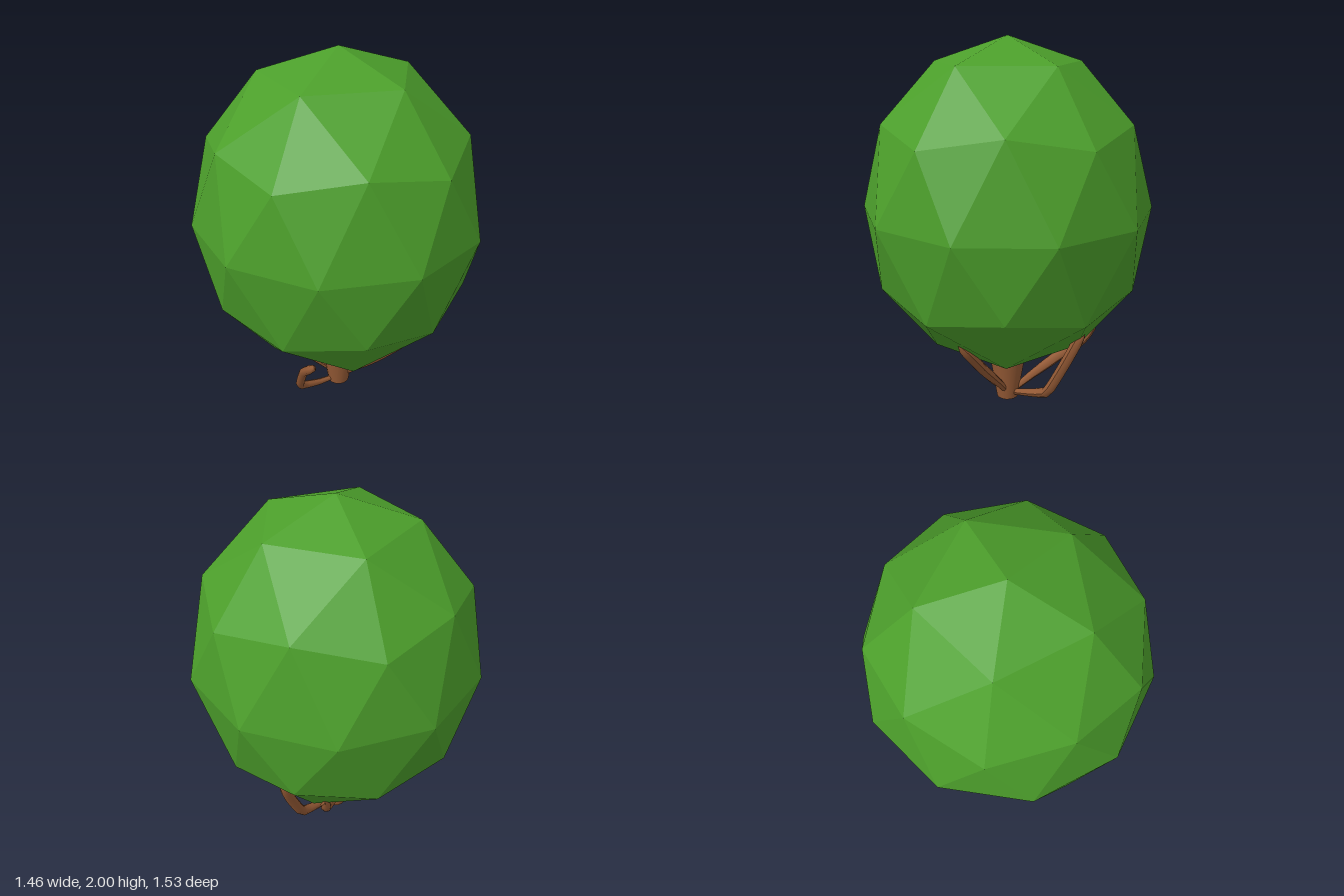
import * as THREE from 'three';

const leafMaterial = new THREE.MeshStandardMaterial({ color: 0x4c9f2b, flatShading: true });
const barkMaterial = new THREE.MeshStandardMaterial({ color: 0x955a35 });

// Icosphere standing on a vertex, stretched upwards
function makeCrown() {
  const verts = [0, 1, 0];
  const ring = (y, offset) => {
    for (let k = 0; k < 5; k++) {
      const a = (k * 72 + offset) * Math.PI / 180;
      verts.push(Math.cos(a) * 2 * Math.abs(y), y, Math.sin(a) * 2 * Math.abs(y));
    }
  };
  ring(Math.sqrt(0.2), 0);
  ring(-Math.sqrt(0.2), 36);
  verts.push(0, -1, 0);
  const faces = [];
  for (let k = 0; k < 5; k++) {
    const n = (k + 1) % 5;
    const u = 1 + k, un = 1 + n, l = 6 + k, ln = 6 + n;
    faces.push(0, un, u, u, un, l, un, ln, l, 11, l, ln);
  }
  const geometry = new THREE.PolyhedronGeometry(verts, faces, 1, 1);
  geometry.scale(0.765, 0.88, 0.765);
  geometry.computeVertexNormals();
  const crown = new THREE.Mesh(geometry, leafMaterial);
  crown.position.y = 1.12;
  crown.name = 'crown';
  return crown;
}

// Tapered tube through a few points, closed to a blunt tip
function makeBranch(points, radius) {
  const segments = 14, sides = 8;
  const curve = new THREE.CatmullRomCurve3(
    points.map(p => new THREE.Vector3(...p)), false, 'catmullrom', 0.2);
  const geometry = new THREE.TubeGeometry(curve, segments, radius, sides);
  const pos = geometry.attributes.position;
  const v = new THREE.Vector3();
  for (let i = 0; i <= segments; i++) {
    const t = i / segments;
    const centre = curve.getPointAt(t);
    const scale = i === segments ? 0 : (0.55 + 0.45 * Math.min(1, t * 2.5)) * (i === segments - 1 ? 0.8 : 1);
    for (let j = 0; j <= sides; j++) {
      const n = i * (sides + 1) + j;
      v.fromBufferAttribute(pos, n).sub(centre).multiplyScalar(scale).add(centre);
      pos.setXYZ(n, v.x, v.y, v.z);
    }
  }
  geometry.computeVertexNormals();
  return new THREE.Mesh(geometry, barkMaterial);
}

export function createModel() {
  const tree = new THREE.Group();
  tree.name = 'tree';
  tree.add(makeCrown());

  // Trunk widening upwards into the crown
  const trunk = new THREE.Mesh(new THREE.CylinderGeometry(0.108, 0.06, 0.3, 16), barkMaterial);
  trunk.position.y = 0.15;
  trunk.name = 'trunk';
  tree.add(trunk);

  // Branches reaching from the trunk foot to the crown
  const branches = {
    rightElbowBranch: [0.025, [[-0.03, 0.02, 0], [-0.14, 0.03, 0.01], [-0.275, 0.085, 0.04], [-0.31, 0.28, 0.16], [-0.31, 0.42, 0.31]]],
    frontBranch: [0.028, [[0.02, 0.04, 0.02], [0.06, 0.13, 0.1], [0.12, 0.29, 0.25], [0.17, 0.42, 0.36], [0.175, 0.5, 0.43]]],
    leftElbowBranch: [0.03, [[0.03, 0.03, -0.01], [0.15, 0.07, -0.03], [0.29, 0.13, -0.06], [0.40, 0.36, -0.11], [0.47, 0.55, -0.16]]],
    backLeftBranch: [0.028, [[0.03, 0.04, -0.02], [0.1, 0.14, -0.1], [0.2, 0.27, -0.21], [0.28, 0.36, -0.29], [0.34, 0.49, -0.36]]],
    backRightBranch: [0.028, [[-0.03, 0.06, -0.02], [-0.2, 0.23, -0.08], [-0.36, 0.34, -0.16], [-0.47, 0.46, -0.23], [-0.53, 0.56, -0.27]]],
    backBranch: [0.026, [[-0.02, 0.05, -0.03], [-0.09, 0.14, -0.12], [-0.17, 0.26, -0.24], [-0.23, 0.37, -0.35]]],
  };
  for (const [name, [radius, points]] of Object.entries(branches)) {
    const branch = makeBranch(points, radius);
    branch.name = name;
    tree.add(branch);
  }
  return tree;
}
